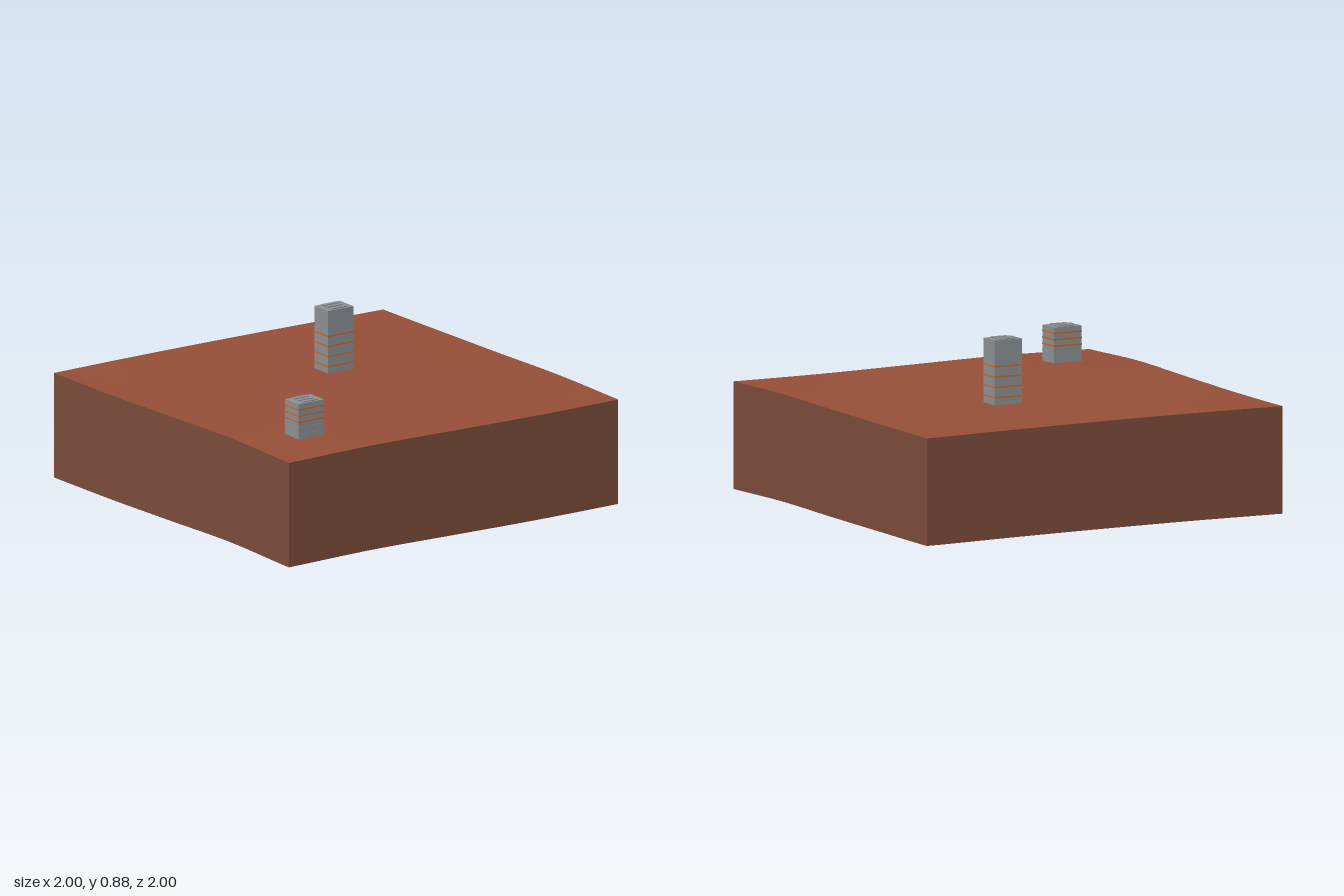
import * as THREE from 'three';

const THICKNESS = 0.538;

// Gentle relief of the ground: rows from back to front, columns from -x to +x
const RELIEF = [
  [0.002, 0.008, 0.015, 0.024, 0.019],
  [0.010, 0.013, 0.019, 0.027, 0.021],
  [0.016, 0.020, 0.026, 0.036, 0.030],
  [0.019, 0.023, 0.033, 0.046, 0.039],
  [0.018, 0.022, 0.033, 0.045, 0.035],
];

// Smooth interpolation through five evenly spaced values
function spline(v, t) {
  const i = Math.min(3, Math.max(0, Math.floor(t))), f = t - i;
  const a = v[Math.max(0, i - 1)], b = v[i], c = v[i + 1], d = v[Math.min(4, i + 2)];
  return b + 0.5 * f * (c - a + f * (2 * a - 5 * b + 4 * c - d + f * (3 * (b - c) + d - a)));
}

function relief(x, z) {
  return spline(RELIEF.map((row) => spline(row, (x + 1) * 2)), (z + 1) * 2);
}

export function createModel() {
  const model = new THREE.Group();
  model.name = 'terrainTile';

  const mat = (name, color, side = THREE.FrontSide) => {
    const m = new THREE.MeshStandardMaterial({ color, side });
    m.name = name;
    return m;
  };
  const soil = mat('rustSoil', 0x954e38, THREE.DoubleSide);
  const earth = mat('brownEarth', 0x7a4b3a, THREE.DoubleSide);
  const concrete = mat('greyConcrete', 0x8b8f92);
  const orange = mat('orangeBand', 0xc8662b);

  const add = (parent, name, geometry, material, x = 0, y = 0, z = 0) => {
    const mesh = new THREE.Mesh(geometry, material);
    mesh.name = name;
    mesh.position.set(x, y, z);
    parent.add(mesh);
    return mesh;
  };

  // Rolling ground surface
  const ground = new THREE.PlaneGeometry(2, 2, 32, 32).rotateX(-Math.PI / 2);
  const gp = ground.attributes.position;
  for (let i = 0; i < gp.count; i++) gp.setY(i, THICKNESS + relief(gp.getX(i), gp.getZ(i)));
  ground.computeVertexNormals();
  add(model, 'ground', ground, soil);

  // Four skirt walls whose upper and lower rims follow the ground; open below
  ['frontWall', 'leftWall', 'backWall', 'rightWall'].forEach((name, k) => {
    const wall = new THREE.PlaneGeometry(2, 2, 32, 1).translate(0, 0, 1).rotateY(k * Math.PI / 2);
    const p = wall.attributes.position;
    for (let i = 0; i < p.count; i++) {
      const lift = p.getY(i) > 0 ? THICKNESS : 0;
      p.setY(i, lift + relief(p.getX(i), p.getZ(i)));
    }
    add(model, name, wall, earth);
  });

  // Block tower with bands round all sides and low strips on the roof
  function tower(name, x, z, top, orangeBands, greyBands) {
    const g = new THREE.Group();
    g.name = name;
    g.position.set(x, 0, z);
    const w = 0.116, d = 0.155, roof = top - 0.005;
    const base = THICKNESS + relief(x, z) - 0.008;
    add(g, 'towerBody', new THREE.BoxGeometry(w, roof - base, d), concrete, 0, (roof + base) / 2, 0);
    const band = new THREE.BoxGeometry(w + 0.003, 0.008, d + 0.003);
    orangeBands.forEach((y) => add(g, 'floorBand', band, orange, 0, y, 0));
    greyBands.forEach((y) => add(g, 'floorLedge', band, concrete, 0, y, 0));
    for (let i = -1; i <= 1; i++) {
      add(g, 'roofStrip', new THREE.BoxGeometry(0.024, 0.005, 0.09), concrete, i * 0.036, roof + 0.0025, 0);
    }
    model.add(g);
  }
  tower('tallTower', -0.252, -0.167, 0.886, [0.595, 0.647, 0.699, 0.751], []);
  tower('shortTower', 0.663, 0.664, 0.768, [0.67, 0.702, 0.734], [0.607, 0.639]);

  return model;
}
